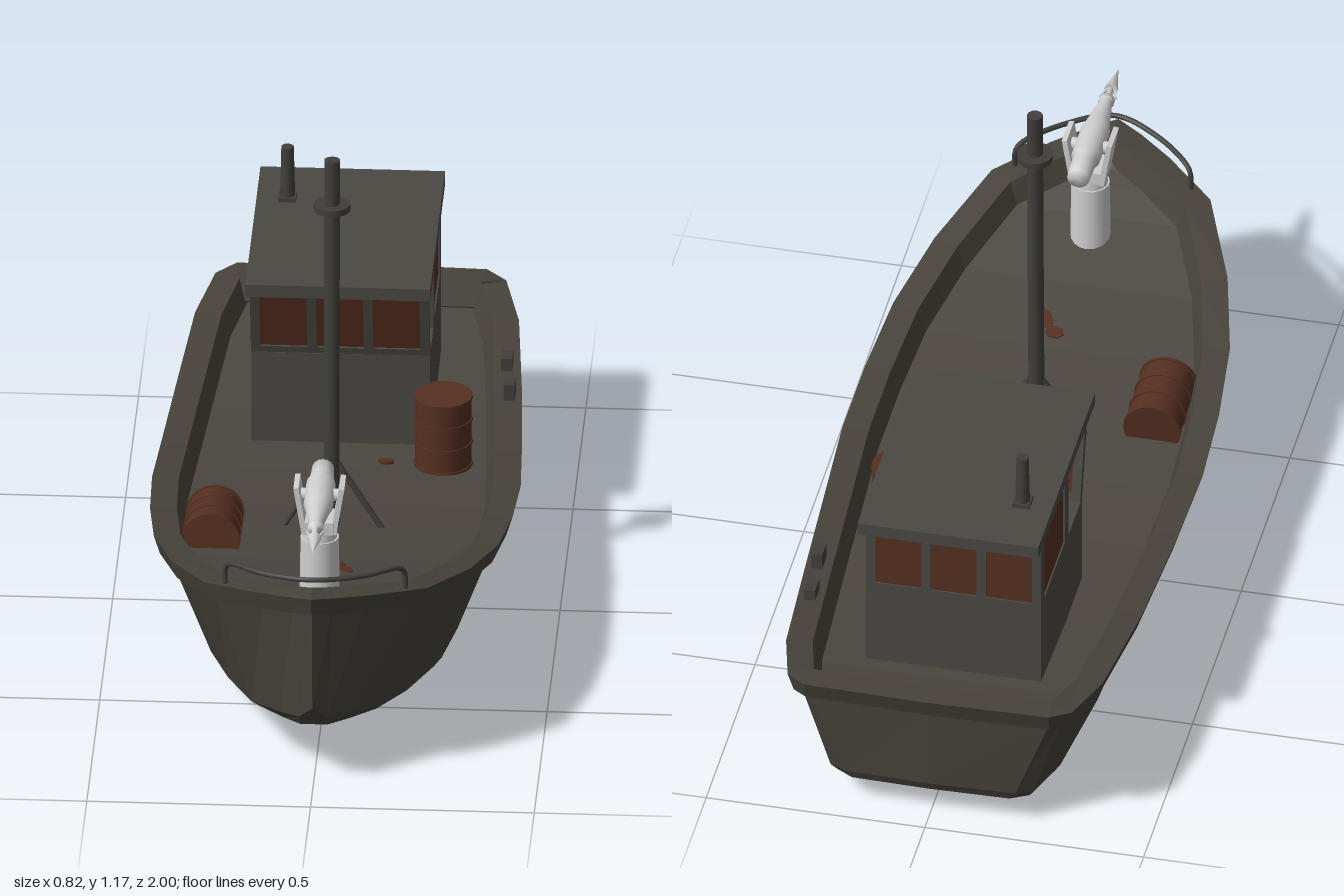
import * as THREE from 'three';

const mat = (name, color) => Object.assign(new THREE.MeshStandardMaterial({ color }), { name });

export function createModel() {
  const hullPaint = mat('hull paint', 0x47433b), deckPaint = mat('deck paint', 0x4b4640);
  const cabinPaint = mat('cabin paint', 0x4a4843), iron = mat('dark iron', 0x403f3b);
  const rust = mat('rust', 0x552f20), steel = mat('pale steel', 0xcfcfcf);
  const boat = new THREE.Group();
  boat.name = 'boat';

  const add = (name, geo, m, x = 0, y = 0, z = 0, parent = boat) => {
    const mesh = new THREE.Mesh(geo, m);
    mesh.name = name;
    mesh.position.set(x, y, z);
    parent.add(mesh);
    return mesh;
  };
  const group = (name, x, y, z) => {
    const g = new THREE.Group();
    g.name = name;
    g.position.set(x, y, z);
    boat.add(g);
    return g;
  };
  const box = (w, h, d) => new THREE.BoxGeometry(w, h, d);
  const cyl = (r1, r2, h, n = 16) => new THREE.CylinderGeometry(r1, r2, h, n);
  const V = (x, y, z) => new THREE.Vector3(x, y, z);
  // Round bar between two points
  const bar = (name, a, b, r, m) => {
    const mesh = add(name, cyl(r, r, a.distanceTo(b), 10), m);
    mesh.position.copy(a).add(b).multiplyScalar(0.5);
    mesh.quaternion.setFromUnitVectors(V(0, 1, 0), b.clone().sub(a).normalize());
    return mesh;
  };

  // Hull: rail and chine outlines from bow to stern, with curved sheer and keel
  const sheer = z => 0.29 + (z > -0.4 ? 0.115 : 0.165) * (z + 0.4) ** 2;
  const keel = z => (z > -0.25 ? 0.115 : 0.14) * (z + 0.25) ** 2 + (z > 0.9 ? 0.03 : 0);
  const deckY = z => sheer(z) - 0.055;
  const railHalf = [[0, 0.982], [0.06, 0.95], [0.135, 0.9], [0.25, 0.805], [0.335, 0.6], [0.385, 0.4], [0.405, 0.2],
    [0.412, 0], [0.403, -0.2], [0.386, -0.5], [0.362, -0.8], [0.325, -0.95], [0.28, -0.988], [0, -0.997]];
  const chineHalf = [[0, 0.905], [0.03, 0.88], [0.07, 0.82], [0.13, 0.72], [0.19, 0.56], [0.24, 0.38], [0.265, 0.2],
    [0.28, 0], [0.28, -0.2], [0.27, -0.5], [0.25, -0.78], [0.22, -0.91], [0.18, -0.94], [0, -0.945]];
  const loop = half => [...half, ...half.slice(1, -1).reverse().map(([x, z]) => [-x, z])];
  const rail = loop(railHalf), N = rail.length;
  const inset = (d, dy) => rail.map(([x, z], i) => {
    const a = rail[(i + N - 1) % N], b = rail[(i + 1) % N];
    const tx = b[0] - a[0], tz = b[1] - a[1], l = Math.hypot(tx, tz);
    return V(x + (tz / l) * d, sheer(z) + dy, z - (tx / l) * d);
  });
  const chine = loop(chineHalf).map(([x, z]) => V(x, keel(z), z));
  const hullTop = inset(0.033, -0.045);
  const knuckle = chine.map((p, i) => V(
    p.x + (hullTop[i].x - p.x) * 0.16, p.y + (hullTop[i].y - p.y) * 0.1, p.z + (hullTop[i].z - p.z) * 0.6));
  const faceted = quads => {
    const pos = [];
    quads.forEach(([a, b, c, d]) => [a, b, c, a, c, d].forEach(p => pos.push(p.x, p.y, p.z)));
    const g = new THREE.BufferGeometry();
    g.setAttribute('position', new THREE.Float32BufferAttribute(pos, 3));
    g.computeVertexNormals();
    return g;
  };
  const skin = rings => faceted(rings.slice(1).flatMap((up, r) => up.map((p, i) => {
    const j = (i + 1) % N, low = rings[r];
    return [low[i], low[j], up[j], p];
  })));
  const cap = (ring, down) => faceted(railHalf.slice(1).map((_, k) => {
    const q = [ring[k], ring[k + 1], ring[(N - k - 1) % N], ring[(N - k) % N]];
    return down ? q.reverse() : q;
  }));
  const deckEdge = inset(0.08, -0.055);
  add('hullSides', skin([chine, knuckle, hullTop]), hullPaint);
  add('hullBottom', cap(chine, true), hullPaint);
  add('gunwale', skin([hullTop, inset(0.014, -0.045), inset(0, 0), inset(0.06, 0), deckEdge]), hullPaint);
  add('deck', cap(deckEdge, false), deckPaint);

  // Wheelhouse
  const cabin = group('wheelhouse', -0.01, 0, 0);
  add('cabinBase', box(0.4, 0.25, 0.42), cabinPaint, 0, 0.335, -0.54, cabin);
  add('cabinRoof', box(0.413, 0.03, 0.585), cabinPaint, 0, 0.665, -0.518, cabin);
  // Wall with n equal window openings, standing on its lower edge
  const windowWall = (name, w, h, n, gap, sill, head, x, z, ry, lean = 0) => {
    const g = new THREE.Group();
    g.name = name;
    const rect = (C, x0, y0, x1, y1) => new C([[x0, y0], [x1, y0], [x1, y1], [x0, y1]].map(p => new THREE.Vector2(...p)));
    const shape = rect(THREE.Shape, -w / 2, 0, w / 2, h);
    const pw = (w - gap * (n + 1)) / n;
    for (let i = 0; i < n; i++) {
      const x0 = -w / 2 + gap + i * (pw + gap);
      shape.holes.push(rect(THREE.Path, x0, sill, x0 + pw, h - head));
      add('window', box(pw, h - sill - head, 0.008), rust, x0 + pw / 2, (h + sill - head) / 2, -0.008, g);
    }
    const wall = new THREE.ExtrudeGeometry(shape, { depth: 0.02, bevelEnabled: false });
    add('wallFrame', wall, cabinPaint, 0, 0, -0.02, g);
    g.position.set(x, 0.458, z);
    g.rotation.set(lean, ry, 0);
    cabin.add(g);
  };
  windowWall('frontWall', 0.4, 0.2, 3, 0.021, 0.02, 0.025, 0, -0.332, 0, 0.28);
  windowWall('backWall', 0.4, 0.195, 3, 0.021, 0.015, 0.015, 0, -0.75, Math.PI);
  for (const s of [-1, 1]) windowWall('sideWall', 0.28, 0.195, 1, 0.036, 0.01, 0.012, s * 0.2, -0.61, s * Math.PI / 2);
  add('chimneyBase', box(0.04, 0.01, 0.04), iron, -0.147, 0.685, -0.657);
  add('chimney', cyl(0.014, 0.017, 0.13, 12), iron, -0.147, 0.745, -0.657);

  // Mast with collar and splayed legs
  bar('mast', V(-0.003, 0.25, 0.132), V(-0.003, 1.17, 0.113), 0.018, iron);
  add('mastCollar', cyl(0.041, 0.041, 0.015), iron, -0.003, 1.055, 0.115);
  for (const s of [-1, 1]) bar('mastLeg', V(-0.003, 0.44, 0.126), V(s * 0.112, 0.265, 0.145), 0.007, iron);

  // Oil drums with raised hoops
  const drum = (name, x, y, z) => {
    const g = group(name, x, y, z);
    add('drumBody', cyl(0.063, 0.063, 0.172, 20), rust, 0, 0, 0, g);
    for (const h of [-0.083, -0.028, 0.028, 0.083]) add('drumHoop', cyl(0.066, 0.066, 0.007, 20), rust, 0, h, 0, g);
    return g;
  };
  drum('standingDrum', 0.225, 0.325, -0.24);
  drum('lyingDrum', -0.262, 0.308, 0.237).rotation.x = Math.PI / 2 - 0.08;

  // Harpoon gun
  const gun = group('harpoonGun', 0.004, 0, 0);
  add('pedestal', cyl(0.043, 0.046, 0.19, 18), steel, 0, 0.44, 0.715, gun);
  add('pedestalFoot', cyl(0.052, 0.052, 0.025, 18), steel, 0, 0.362, 0.715, gun);
  add('swivel', cyl(0.036, 0.04, 0.05, 18), steel, 0, 0.55, 0.715, gun);
  add('yokeBase', box(0.065, 0.03, 0.075), steel, 0, 0.57, 0.715, gun);
  for (const s of [-1, 1]) {
    add('yokeArm', box(0.012, 0.115, 0.075), steel, s * 0.042, 0.612, 0.712, gun).rotation.z = -s * 0.16;
    add('trunnion', cyl(0.014, 0.014, 0.025, 12), steel, s * 0.036, 0.637, 0.712, gun).rotation.z = Math.PI / 2;
  }
  const profile = [[0, 0.587], [0.025, 0.587], [0.027, 0.64], [0.027, 0.66], [0.033, 0.665], [0.033, 0.765],
    [0.028, 0.785], [0.015, 0.868], [0.018, 0.872], [0.018, 0.885], [0.007, 0.887], [0.007, 0.92], [0, 0.92]];
  const barrel = new THREE.LatheGeometry(profile.map(p => new THREE.Vector2(...p)), 16);
  add('barrel', barrel.rotateX(Math.PI / 2), steel, 0, 0.637, 0, gun);
  add('harpoonTip', new THREE.ConeGeometry(0.016, 0.075, 8).rotateX(Math.PI / 2), steel, 0, 0.635, 0.962, gun);
  add('harpoonShaft', cyl(0.005, 0.005, 0.06, 8).rotateX(Math.PI / 2), steel, 0, 0.635, 0.91, gun);
  for (const s of [-1, 1]) {
    add('harpoonBarb', box(0.004, 0.005, 0.04), steel, s * 0.012, 0.635, 0.913, gun).rotation.y = -s * 0.35;
  }

  // Bow handrail
  const handrail = [[-0.2, 0.44, 0.825], [-0.2, 0.505, 0.825], [-0.19, 0.52, 0.835], [-0.11, 0.533, 0.905], [0, 0.543, 0.95],
    [0.11, 0.533, 0.905], [0.19, 0.52, 0.835], [0.2, 0.505, 0.825], [0.2, 0.44, 0.825]];
  const railCurve = new THREE.CatmullRomCurve3(handrail.map(p => V(...p)), false, 'centripetal');
  add('bowHandrail', new THREE.TubeGeometry(railCurve, 48, 0.006, 8), iron);

  // Mooring blocks on the rail
  for (const [x, z] of [[0.36, -0.475], [0.347, -0.605]]) add('mooringBlock', box(0.025, 0.04, 0.045), iron, x, 0.31, z);

  // Rust stains lying on the sloping deck
  for (const [x, z, sx, sz, turn] of [[0.022, 0.43, 0.022, 0.018, 0], [0.048, 0.465, 0.014, 0.032, 0.4], [0.098, -0.236, 0.018, 0.012, 0]]) {
    const stain = cyl(1, 1, 0.006, 7).scale(sx, 1, sz).rotateY(turn);
    add('rustStain', stain, rust, x, deckY(z) + 0.004, z).rotation.x = -Math.atan(0.23 * (z + 0.4));
  }
  return boat;
}
